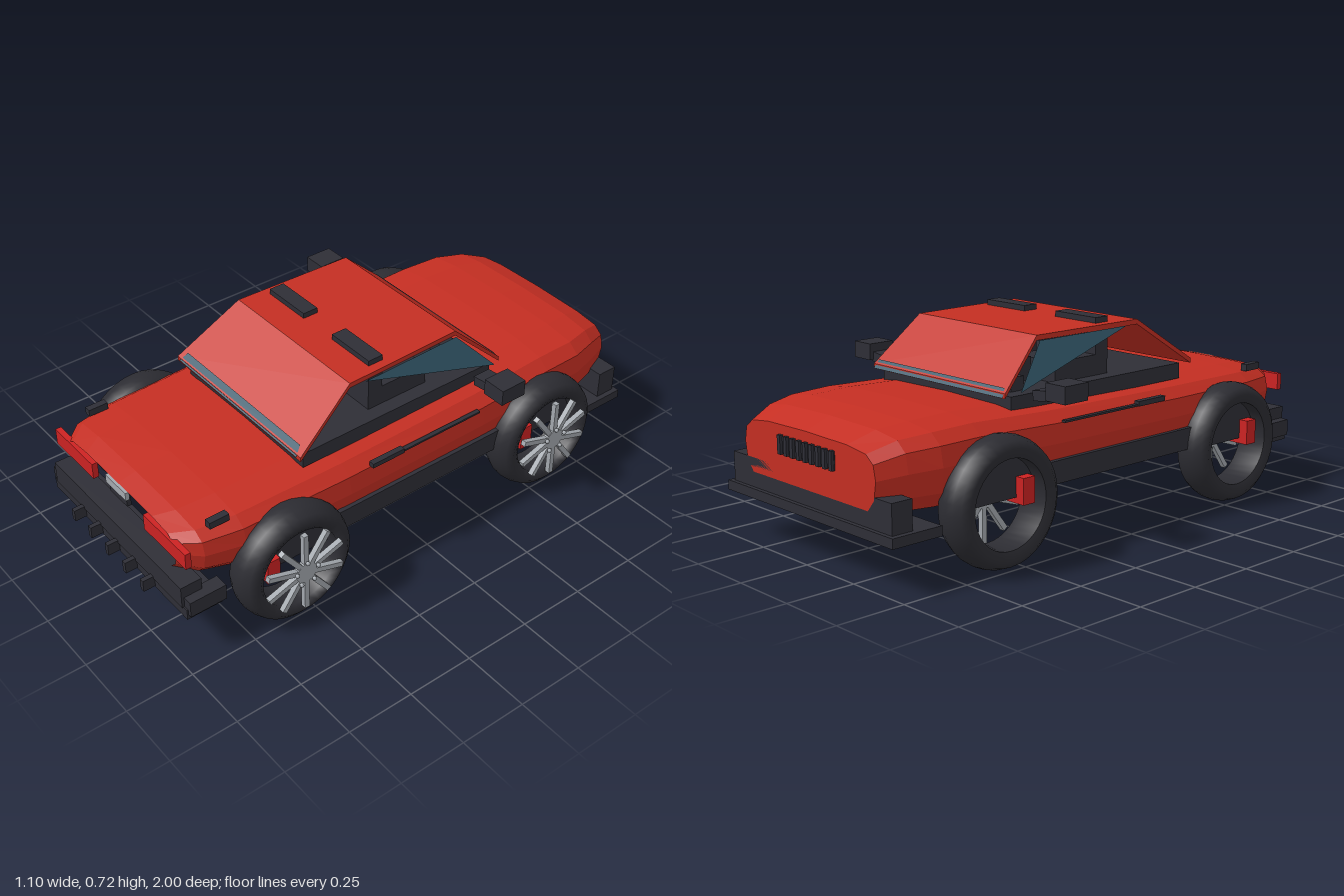
import * as THREE from 'three';

const mat = (name, color, extra = {}) => new THREE.MeshStandardMaterial({ name, color, ...extra });

export function createModel() {
  const car = new THREE.Group();
  car.name = 'sportsCar';
  const red = mat('bodyRed', 0xc42e22, { flatShading: true });
  const dark = mat('darkTrim', 0x2e2e36);
  const tyreMat = mat('tyreBlack', 0x2c2c32);
  const silver = mat('silver', 0xa3a8ae);
  const lamp = mat('lampRed', 0xcc2222);
  const glass = mat('glassBlue', 0x34596b, { side: THREE.DoubleSide });

  const add = (name, geo, m, parent = car) => {
    const mesh = new THREE.Mesh(geo, m);
    mesh.name = name;
    parent.add(mesh);
    return mesh;
  };
  // Box given by its min/max extents
  const box = (name, m, x0, x1, y0, y1, z0, z1, parent = car) => {
    const mesh = add(name, new THREE.BoxGeometry(x1 - x0, y1 - y0, z1 - z0), m, parent);
    mesh.position.set((x0 + x1) / 2, (y0 + y1) / 2, (z0 + z1) / 2);
    return mesh;
  };
  // Skin over rings that run counter-clockwise seen from +z, ordered by rising z
  const loft = (rings, capStart, capEnd) => {
    const n = rings[0].length, idx = [];
    for (let i = 0; i < rings.length - 1; i++) {
      for (let j = 0; j < n; j++) {
        const a = i * n + j, b = i * n + (j + 1) % n;
        idx.push(a, b, b + n, a, b + n, a + n);
      }
    }
    const last = (rings.length - 1) * n;
    for (let j = 1; j < n - 1; j++) {
      if (capStart) idx.push(0, j + 1, j);
      if (capEnd) idx.push(last, last + j, last + j + 1);
    }
    const g = new THREE.BufferGeometry();
    g.setAttribute('position', new THREE.Float32BufferAttribute(rings.flat(2), 3));
    g.setIndex(idx);
    const flat = g.toNonIndexed();
    flat.computeVertexNormals();
    return flat;
  };
  const face = (pts) => {
    const g = new THREE.BufferGeometry().setFromPoints(pts.map((p) => new THREE.Vector3(...p)));
    g.setIndex(pts.length === 4 ? [0, 1, 2, 0, 2, 3] : [0, 1, 2]);
    g.computeVertexNormals();
    return g;
  };

  // Body shell: [z, half width, bottom, top], open at the tail
  const half = [[0.88, 0], [0.97, 0.2], [1, 0.52], [0.97, 0.78], [0.87, 0.92], [0.6, 0.98]];
  const outline = [[0, 0], ...half, [0, 1], ...half.slice().reverse().map(([u, v]) => [-u, v])];
  const sections = [
    [-0.985, 0.355, 0.25, 0.445], [-0.89, 0.395, 0.236, 0.482], [-0.78, 0.43, 0.236, 0.495],
    [-0.62, 0.437, 0.236, 0.5], [-0.3, 0.445, 0.236, 0.487], [0.3, 0.445, 0.236, 0.476],
    [0.72, 0.43, 0.245, 0.468], [0.86, 0.4, 0.27, 0.458], [0.93, 0.34, 0.295, 0.443],
  ];
  add('body', loft(sections.map(([z, w, b, t]) =>
    outline.map(([u, v]) => [u * w, b + v * (t - b), z])), true, false), red);

  // Folded roof: windscreen panel, top and rear panel
  const roof = [[-0.445, 0.54, 0.345], [-0.265, 0.705, 0.305], [0.21, 0.705, 0.318], [0.45, 0.54, 0.363]];
  add('roof', loft(roof.map(([z, y, w]) =>
    [[-w, y - 0.018, z], [w, y - 0.018, z], [w, y, z], [-w, y, z]]), true, true), red);

  // Cabin base and glass
  box('cabinBase', dark, -0.335, 0.335, 0.465, 0.522, -0.41, 0.42);
  add('rearGlass', face([[-0.345, 0.533, 0.455], [0.345, 0.533, 0.455], [0.33, 0.562, 0.427], [-0.33, 0.562, 0.427]]), glass);
  add('windscreenGlass', face([[0.34, 0.525, -0.452], [-0.34, 0.525, -0.452], [-0.33, 0.555, -0.433], [0.33, 0.555, -0.433]]), glass);
  box('dashboard', dark, -0.28, 0.28, 0.52, 0.57, -0.36, -0.3);
  box('steeringWheel', dark, -0.24, -0.1, 0.54, 0.62, -0.3, -0.23);

  for (const s of [-1, 1]) {
    const side = (name, m, x0, x1, ...r) => box(name, m, Math.min(s * x0, s * x1), Math.max(s * x0, s * x1), ...r);
    add('sideGlass', face([[s * 0.372, 0.54, -0.4], [s * 0.315, 0.688, -0.26], [s * 0.325, 0.69, 0.15]]), glass);
    // Seats
    side('seatBack', dark, 0.08, 0.28, 0.335, 0.725, 0.04, 0.1);
    side('seatCushion', dark, 0.08, 0.28, 0.52, 0.595, -0.155, 0.06);
    side('seatMount', dark, 0.05, 0.15, 0.3, 0.44, -0.12, 0.06);
    // Mirrors
    side('mirror', dark, 0.46, 0.55, 0.525, 0.585, -0.375, -0.27);
    const arm = side('mirrorArm', dark, 0.385, 0.465, 0.515, 0.55, -0.36, -0.29);
    arm.rotation.z = s * 0.12;
    // Sills and door handles
    side('sill', dark, 0.41, 0.452, 0.233, 0.312, -0.37, 0.37);
    side('doorHandle', dark, 0.43, 0.452, 0.432, 0.45, 0.08, 0.215);
    side('doorLine', dark, 0.43, 0.447, 0.432, 0.439, -0.27, 0.08);
    // Tail details
    side('tailLight', lamp, 0.16, 0.405, 0.358, 0.42, 0.915, 0.937);
    side('tailMarker', dark, 0.357, 0.383, 0.45, 0.476, 0.75, 0.825);
    side('bumperEnd', dark, 0.38, 0.435, 0.18, 0.24, 0.81, 0.95);
  }

  // Tail
  box('plate', silver, -0.065, 0.06, 0.41, 0.442, 0.925, 0.94);
  box('tailLatch', dark, -0.055, 0.05, 0.375, 0.41, 0.915, 0.932);
  box('rearBumper', dark, -0.4, 0.4, 0.2, 0.285, 0.88, 0.96);
  box('diffuser', dark, -0.42, 0.42, 0.16, 0.202, 0.82, 0.955);
  for (let i = -2; i <= 2; i++) {
    box('diffuserFin', dark, i * 0.11 - 0.009, i * 0.11 + 0.009, 0.165, 0.21, 0.94, 1);
  }

  // Nose
  box('splitter', dark, -0.45, 0.45, 0.163, 0.197, -1, -0.805);
  box('frontBumper', dark, -0.43, 0.43, 0.197, 0.3, -0.985, -0.905);
  box('grille', dark, -0.15, 0.15, 0.35, 0.405, -0.988, -0.97);
  for (let i = 0; i < 9; i++) {
    const x = -0.14 + i * 0.035;
    box('grilleSlat', dark, x - 0.008, x + 0.008, 0.345, 0.41, -0.998, -0.98);
  }

  // Wheels: all four share the same orientation
  const profile = [[0.152, -0.058], [0.185, -0.072], [0.207, -0.055], [0.219, -0.025], [0.222, 0],
    [0.219, 0.025], [0.207, 0.055], [0.185, 0.072], [0.152, 0.058], [0.152, -0.058]];
  const tyreGeo = new THREE.LatheGeometry(profile.map((p) => new THREE.Vector2(...p)), 36).rotateZ(-Math.PI / 2);
  const spokeGeo = new THREE.BoxGeometry(0.02, 0.145, 0.019).translate(0, 0.085, 0);
  const hubGeo = new THREE.CylinderGeometry(0.04, 0.04, 0.022, 20).rotateZ(Math.PI / 2);
  const nutGeo = new THREE.SphereGeometry(0.008, 8, 6);
  const archGeo = new THREE.CylinderGeometry(0.15, 0.15, 0.04, 24, 1, false, 0, Math.PI)
    .rotateX(-Math.PI / 2).rotateZ(Math.PI / 2).rotateY(Math.PI / 2);
  for (const sx of [-1, 1]) {
    for (const z of [-0.567, 0.562]) {
      const wheel = new THREE.Group();
      wheel.name = 'wheel';
      wheel.position.set(sx * 0.448, 0.225, z);
      car.add(wheel);
      add('tyre', tyreGeo, tyreMat, wheel);
      for (let i = 0; i < 10; i++) {
        const a = (i / 10) * Math.PI * 2;
        const spoke = add('spoke', spokeGeo, silver, wheel);
        spoke.position.x = 0.08;
        spoke.rotation.x = a;
        if (i % 2 === 0) {
          add('wheelNut', nutGeo, silver, wheel).position.set(0.097, Math.cos(a) * 0.045, Math.sin(a) * 0.045);
        }
      }
      add('hub', hubGeo, silver, wheel).position.x = 0.08;
      // Dark half-round lining behind the spokes
      const lining = new THREE.Shape();
      lining.absarc(0, 0, 0.151, 0, Math.PI, false);
      const liningGeo = new THREE.ExtrudeGeometry(lining, { depth: 0.05, bevelEnabled: false, curveSegments: 16 })
        .translate(0, 0, -0.025).rotateY(Math.PI / 2);
      add('archLining', liningGeo, dark, wheel).position.x = -sx * 0.02;
      box('brakeCaliper', lamp, -0.04, 0.04, -0.02, 0.07, 0.07, 0.12, wheel);
    }
  }
  archGeo.dispose();
  return car;
}
